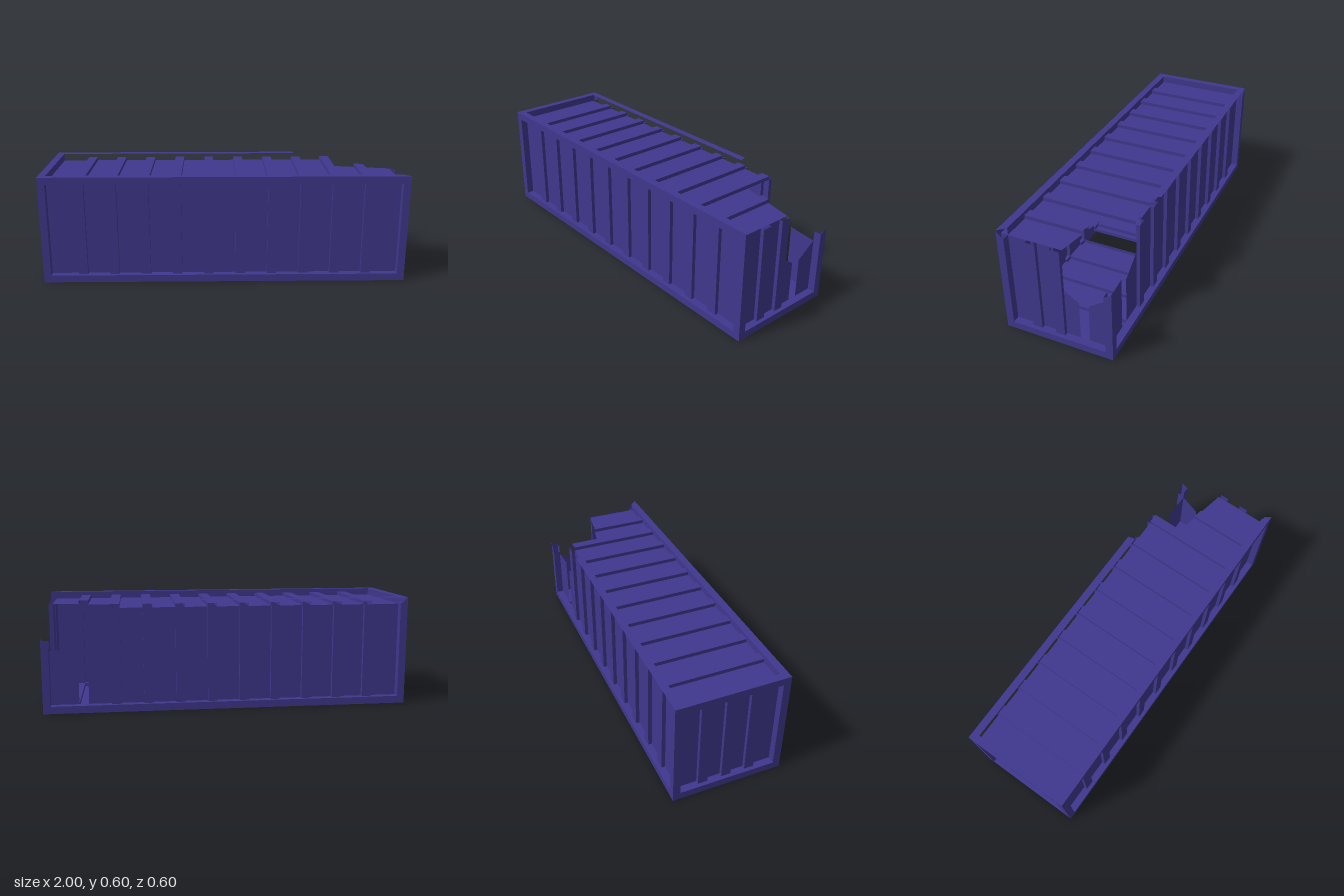
import * as THREE from 'three';

// Damaged ribbed cargo box: mitred frames around recessed sheets with raised ribs.
const EDGE = 0.04, RIB = 0.02, HALF_RIB = 0.026;
const lerp = THREE.MathUtils.lerp;

const material = new THREE.MeshStandardMaterial({ color: 0x40388e, side: THREE.DoubleSide, flatShading: true });

// Mesh from quads given in face space (u, v, d); d points outward.
function quadMesh(name, quads, map) {
  const o = map(0, 0, 0);
  const [eu, ev, ed] = [map(1, 0, 0), map(0, 1, 0), map(0, 0, 1)].map(p => p.sub(o));
  const flip = eu.cross(ev).dot(ed) < 0;
  const pos = [];
  for (const q of quads) {
    const [a, b, c, d] = q.map(p => map(...p));
    for (const p of flip ? [a, c, b, a, d, c] : [a, b, c, a, c, d]) pos.push(p.x, p.y, p.z);
  }
  const geo = new THREE.BufferGeometry();
  geo.setAttribute('position', new THREE.Float32BufferAttribute(pos, 3));
  geo.computeVertexNormals();
  const mesh = new THREE.Mesh(geo, material);
  mesh.name = name;
  return mesh;
}

// Four mitred rails with inward lips. Sides: 0 = -v, 1 = +u, 2 = +v, 3 = -u.
function frame(name, map, L, H, changes = {}) {
  const ring = (l, h) => [[-l, -h], [l, -h], [l, h], [-l, h]];
  const outer = ring(L, H), inner = ring(L - EDGE, H - EDGE), quads = [];
  for (let s = 0; s < 4; s++) {
    if (changes[s] === null) continue;
    const n = (s + 1) % 4;
    const { o = [outer[s], outer[n]], i = [inner[s], inner[n]], lip = true } = changes[s] ?? {};
    quads.push([[...o[0], EDGE], [...o[1], EDGE], [...i[1], EDGE], [...i[0], EDGE]]);
    if (lip) quads.push([[...i[0], EDGE], [...i[1], EDGE], [...i[1], 0], [...i[0], 0]]);
  }
  return quadMesh(name, quads, map);
}

// Sheet with evenly spaced ribs. Even cells are flat, odd cells are ribs.
// cuts[cell]: null removes it, otherwise { low: [a, b], high: [a, b] } trims its ends.
function ribbedSheet(name, map, L, H, ribs, cuts = {}) {
  const l = L - EDGE, h = H - EDGE, pitch = 2 * l / (ribs + 1), stops = [-l], quads = [];
  for (let j = 1; j <= ribs; j++) stops.push(-l + j * pitch - HALF_RIB, -l + j * pitch + HALF_RIB);
  stops.push(l);
  for (let k = 0; k <= 2 * ribs; k++) {
    if (cuts[k] === null) continue;
    const { low = [-h, -h], high = [h, h] } = cuts[k] ?? {};
    const a = stops[k], b = stops[k + 1], d = k % 2 ? RIB : 0;
    quads.push([[a, low[0], d], [b, low[1], d], [b, high[1], d], [a, high[0], d]]);
    if (k % 2) {
      quads.push([[a, low[0], 0], [a, low[0], d], [a, high[0], d], [a, high[0], 0]]);
      quads.push([[b, low[1], d], [b, low[1], 0], [b, high[1], 0], [b, high[1], d]]);
    }
  }
  return quadMesh(name, quads, map);
}

export function createModel() {
  const group = new THREE.Group();
  group.name = 'cargoContainer';
  const V = (x, y, z) => new THREE.Vector3(x, y, z);
  const up = y => y - 0.3; // height to wall coordinate

  const roofCut = x => lerp(-0.095, -0.03, (x - 0.637) / 0.323);
  const roofLow = (a, b) => ({ low: [roofCut(a), roofCut(b)] });

  const faces = [
    { name: 'front', map: (u, v, d) => V(u, 0.3 + v, 0.26 + d), L: 1, H: 0.3, ribs: 10 },
    { name: 'leftEnd', map: (u, v, d) => V(-0.96 - d, 0.3 + v, u), L: 0.3, H: 0.3, ribs: 3 },
    // floor with one panel missing
    { name: 'floor', map: (u, v, d) => V(u, 0.04 - d, v), L: 1, H: 0.3, ribs: 10, cuts: { 12: null } },
    // back wall: top rail gone, torn corner post and torn last panels
    {
      name: 'back', map: (u, v, d) => V(u, 0.3 + v, -0.26 - d), L: 1, H: 0.3, ribs: 10,
      changes: { 2: null, 1: { o: [[1, -0.3], [1, up(0.41)]], i: [[0.96, -0.26], [0.96, up(0.35)]] } },
      cuts: {
        18: { high: [up(0.39), up(0.31)] },
        19: null,
        20: { high: [up(0.35), up(0.335)] },
      },
    },
    // torn end wall: top rail and one rib gone
    {
      name: 'rightEnd', map: (u, v, d) => V(0.96 + d, 0.3 + v, u), L: 0.3, H: 0.3, ribs: 3,
      changes: { 2: null, 3: { o: [[-0.3, up(0.41)], [-0.3, -0.3]], i: [[-0.26, up(0.39)], [-0.26, -0.26]] } },
      cuts: {
        0: { high: [up(0.335), up(0.262)] },
        1: null,
        2: { high: [up(0.265), up(0.315)] },
      },
    },
    // roof: end rail gone, back rail a loose broken strip, corner torn away
    {
      name: 'roof', map: (u, v, d) => V(u, 0.56 + d, v), L: 1, H: 0.3, ribs: 10,
      changes: { 1: null, 0: { o: [[-1, -0.3], [0.42, -0.3]], i: [[-0.96, -0.26], [0.43, -0.26]], lip: false } },
      cuts: { 18: roofLow(0.637, 0.76), 19: roofLow(0.76, 0.811), 20: roofLow(0.811, 0.96) },
    },
  ];

  for (const f of faces) {
    group.add(frame(f.name + 'Frame', f.map, f.L, f.H, f.changes));
    group.add(ribbedSheet(f.name + 'Panel', f.map, f.L, f.H, f.ribs, f.cuts));
  }
  return group;
}
